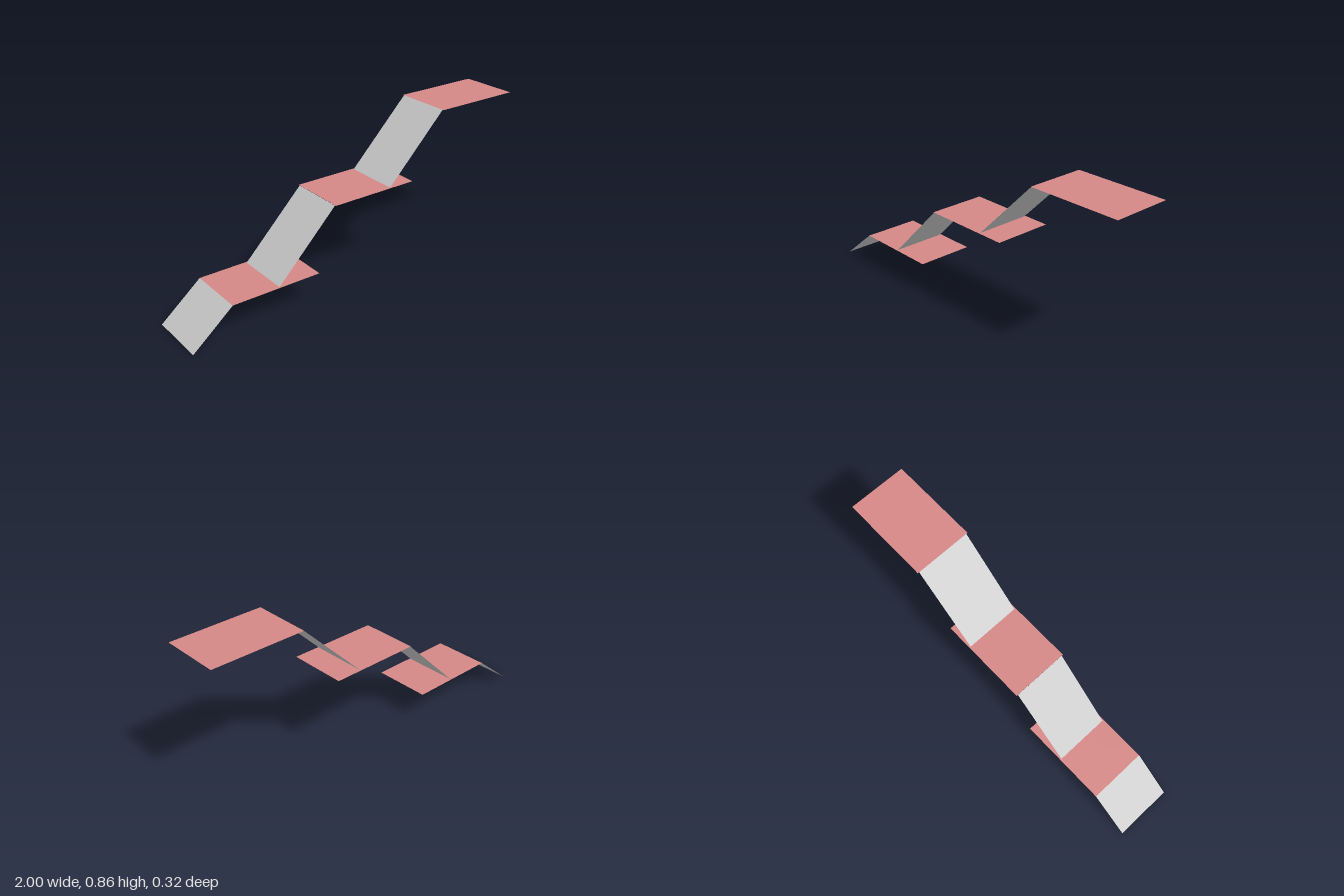
import * as THREE from 'three';

const red = new THREE.MeshStandardMaterial({ color: 0xd58886, side: THREE.DoubleSide });
const grey = new THREE.MeshStandardMaterial({ color: 0xcccccc, side: THREE.DoubleSide });

// Thin sheet spanning two points of the side profile, upper face outward
function sheet(name, material, [x0, y0], [x1, y1], width) {
  const geometry = new THREE.PlaneGeometry(Math.hypot(x1 - x0, y1 - y0), width);
  geometry.rotateX(-Math.PI / 2);
  geometry.rotateZ(Math.atan2(y1 - y0, x1 - x0));
  geometry.translate((x0 + x1) / 2, (y0 + y1) / 2, 0);
  const mesh = new THREE.Mesh(geometry, material);
  mesh.name = name;
  return mesh;
}

export function createModel() {
  const group = new THREE.Group();
  group.name = 'steppedRamps';

  // Level platforms, each overhanging the foot of the next ramp
  [[-0.78, -0.287, 0.182], [-0.183, 0.31, 0.52], [0.507, 1, 0.864]].forEach(([x0, x1, y], i) => {
    group.add(sheet(`platform${i + 1}`, red, [x0, y], [x1, y], 0.318));
  });

  // Sloping ramps leading up to the platforms
  [
    [[-1, 0], [-0.78, 0.182], 0.318],
    [[-0.52, 0.179], [-0.183, 0.519], 0.302],
    [[0.165, 0.519], [0.507, 0.864], 0.302],
  ].forEach(([foot, head, width], i) => {
    group.add(sheet(`ramp${i + 1}`, grey, foot, head, width));
  });

  return group;
}
